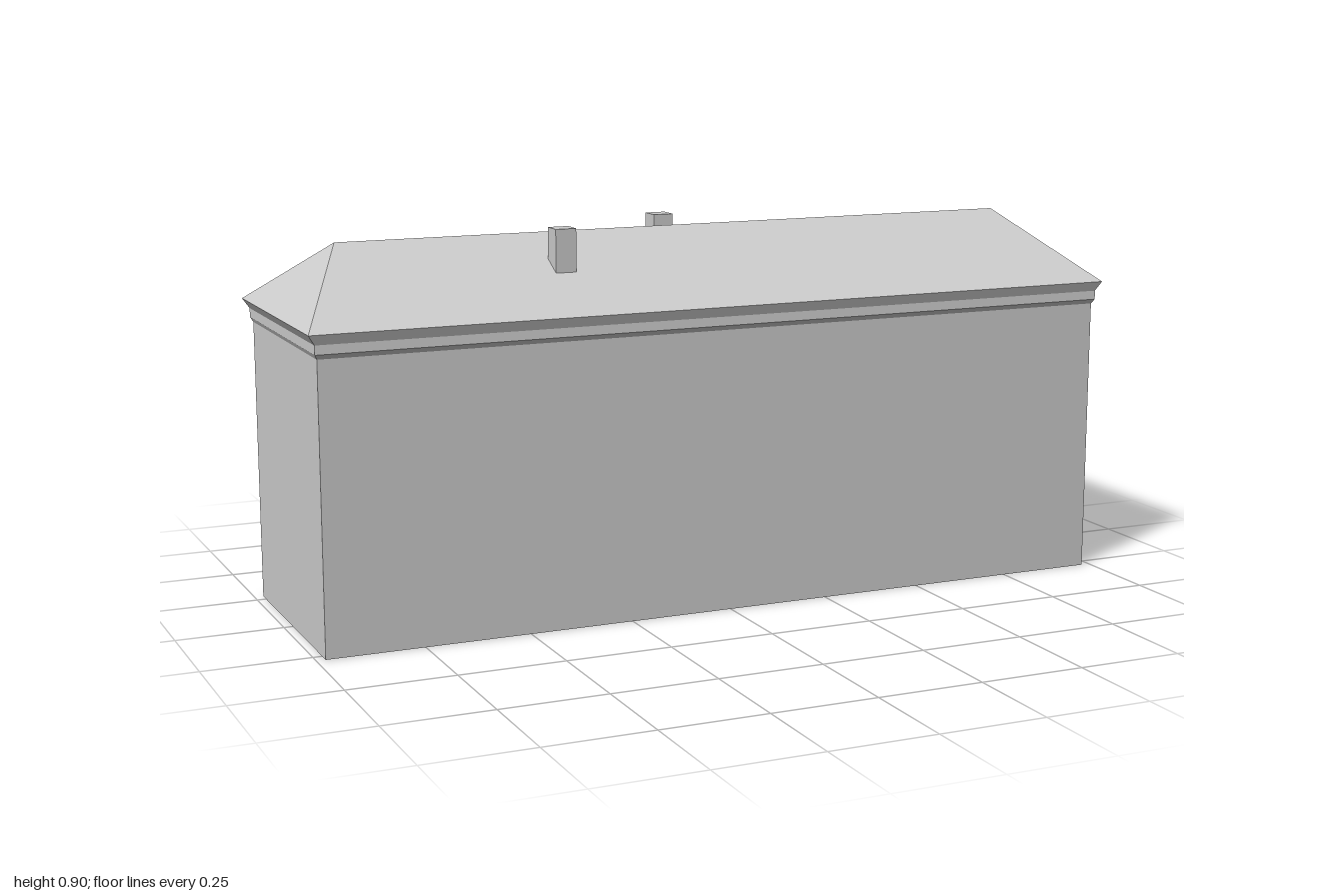
import * as THREE from 'three';

const stone = new THREE.MeshStandardMaterial({ color: 0xcccccc, flatShading: true, side: THREE.DoubleSide });
stone.name = 'pale grey';

// Rectangular outline at height y, counter-clockwise seen from above
function ring([y, hx, front, back]) {
  return [[hx, front], [hx, back], [-hx, back], [-hx, front]].map(([x, z]) => new THREE.Vector3(x, y, z));
}

// Skin a stack of outlines [y, half length, front z, back z]; open at both ends
function loft(name, sections) {
  const points = [];
  const tri = (a, b, c) => {
    if (!a.equals(b) && !b.equals(c) && !c.equals(a)) points.push(a, b, c);
  };
  for (let s = 0; s < sections.length - 1; s++) {
    const lower = ring(sections[s]);
    const upper = ring(sections[s + 1]);
    for (let i = 0; i < 4; i++) {
      const j = (i + 1) % 4;
      tri(lower[i], lower[j], upper[j]);
      tri(lower[i], upper[j], upper[i]);
    }
  }
  const geometry = new THREE.BufferGeometry().setFromPoints(points);
  geometry.computeVertexNormals();
  const mesh = new THREE.Mesh(geometry, stone);
  mesh.name = name;
  return mesh;
}

function chimney(name, x, z, top) {
  const bottom = 0.785;
  const mesh = new THREE.Mesh(new THREE.BoxGeometry(0.05, top - bottom, 0.05), stone);
  mesh.position.set(x, (top + bottom) / 2, z);
  mesh.name = name;
  return mesh;
}

export function createModel() {
  const model = new THREE.Group();
  model.name = 'longBuilding';

  // Four walls, open underneath
  model.add(loft('walls', [[0, 0.979, 0.279, -0.276], [0.667, 0.979, 0.281, -0.278]]));

  // Stepped cornice: small flare, upright band, larger flare
  model.add(loft('cornice', [
    [0.667, 0.979, 0.281, -0.278],
    [0.678, 0.985, 0.288, -0.285],
    [0.699, 0.985, 0.287, -0.285],
    [0.722, 1, 0.295, -0.295],
  ]));

  // Hipped roof meeting at a ridge
  model.add(loft('roof', [[0.722, 1, 0.295, -0.295], [0.88, 0.856, 0, 0]]));

  model.add(chimney('frontChimney', -0.355, 0.121, 0.902));
  model.add(chimney('backChimney', -0.003, -0.133, 0.893));
  return model;
}
